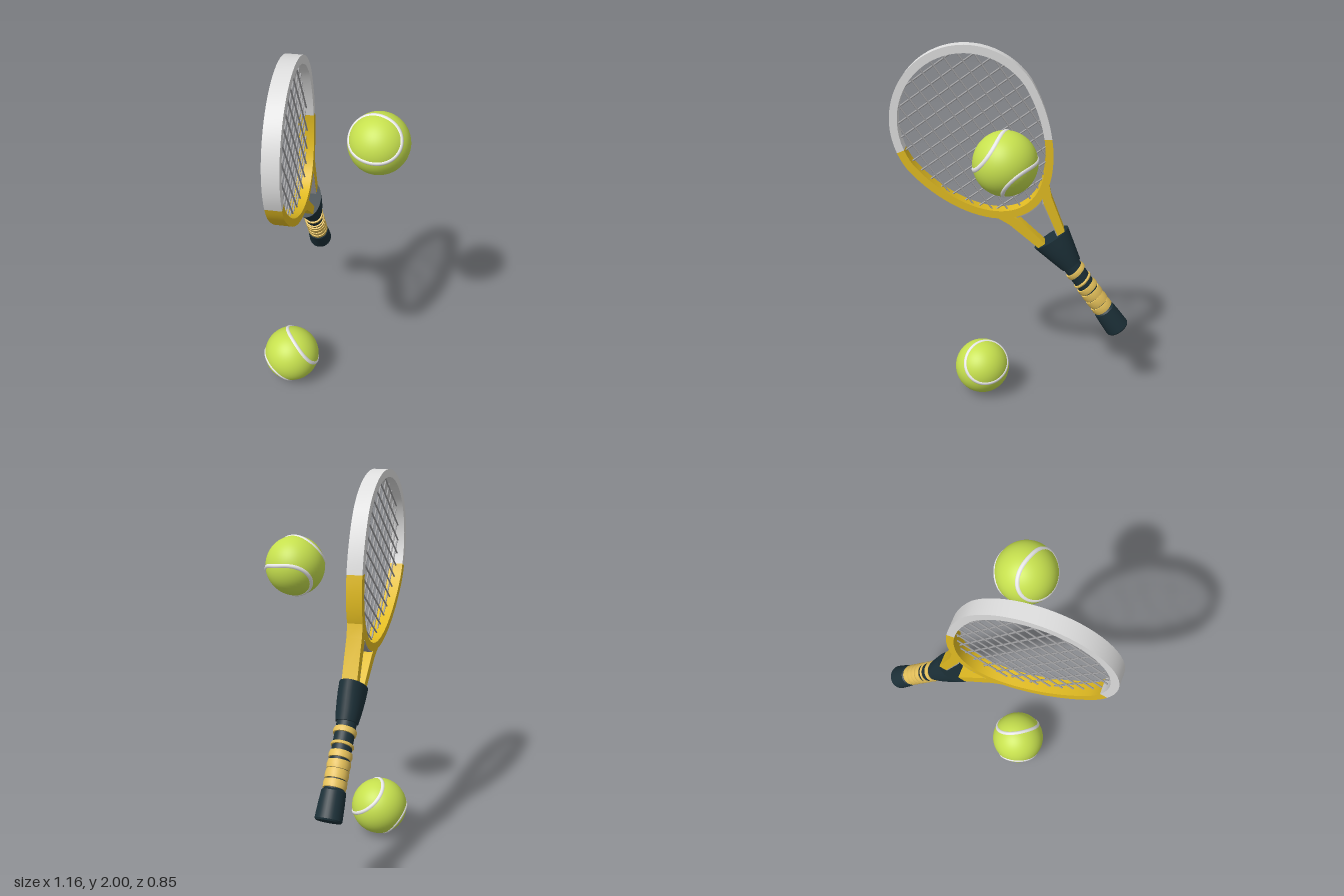
import * as THREE from 'three';
import { toCreasedNormals } from 'three/addons/utils/BufferGeometryUtils.js';

const mat = (name, color) => {
  const m = new THREE.MeshStandardMaterial({ color });
  m.name = name;
  return m;
};
const mats = {
  yellow: mat('frameYellow', 0xe2bc22),
  white: mat('frameWhite', 0xdedede),
  dark: mat('gripDark', 0x1c3038),
  gold: mat('wrapGold', 0xe4c05a),
  grey: mat('stringGrey', 0xa0a0a2),
  felt: mat('ballFelt', 0xc6e04e),
  seam: mat('seamWhite', 0xf0f0f0),
};

const add = (parent, name, geometry, material) => {
  const mesh = new THREE.Mesh(geometry, material);
  mesh.name = name;
  parent.add(mesh);
  return mesh;
};

// Egg-shaped head outline: w half width, up and down reach from its centre
const HEAD_Y = 0.775;
const egg = (deg, w, up, down) => {
  const t = THREE.MathUtils.degToRad(deg), s = Math.sin(t);
  const taper = s < 0 ? 1 + 0.11 * s : 1;
  return new THREE.Vector2(w * Math.cos(t) * taper, HEAD_Y + s * (s > 0 ? up : down));
};
const outer = (deg) => egg(deg, 0.39, 0.407, 0.555);
const inner = (deg) => egg(deg, 0.35, 0.367, 0.512);

const plate = (points, depth) => {
  const g = new THREE.ExtrudeGeometry(new THREE.Shape(points), { depth, bevelEnabled: false });
  g.translate(0, 0, -depth / 2);
  return toCreasedNormals(g, 0.5);
};

// Band between two outlines over a range of angles
function band(outline, inline, from, to, depth) {
  const n = 36, pts = [];
  for (let i = 0; i <= n; i++) pts.push(outline(from + (to - from) * i / n));
  for (let i = n; i >= 0; i--) pts.push(inline(from + (to - from) * i / n));
  return plate(pts, depth);
}

// Where a line x = v or y = v crosses the inside of the hoop
function span(axis, v) {
  const other = axis === 'x' ? 'y' : 'x', hits = [];
  for (let d = 0; d < 360; d += 2) {
    const p = inner(d), q = inner(d + 2);
    if ((p[axis] - v) * (q[axis] - v) <= 0 && p[axis] !== q[axis]) {
      hits.push(p[other] + (q[other] - p[other]) * (v - p[axis]) / (q[axis] - p[axis]));
    }
  }
  return [Math.min(...hits), Math.max(...hits)];
}

function addStrings(racket) {
  const strings = new THREE.Group();
  strings.name = 'strings';
  racket.add(strings);
  const addString = (axis, v) => {
    const [lo, hi] = span(axis, v);
    const m = add(strings, axis === 'x' ? 'mainString' : 'crossString',
      new THREE.CylinderGeometry(0.0045, 0.0045, hi - lo + 0.02, 8), mats.grey);
    const mid = (lo + hi) / 2;
    if (axis === 'x') m.position.set(v, mid, 0.003);
    else {
      m.position.set(mid, v, -0.003);
      m.rotation.z = Math.PI / 2;
    }
  };
  for (let i = 0; i < 10; i++) addString('x', (i - 4.5) * 0.066);
  for (let i = 0; i < 13; i++) addString('y', 0.32 + i * 0.066);
}

function addThroat(racket) {
  for (const side of [-1, 1]) {
    // Yoke arm
    const pts = [[0.17, 0.3], [0.134, 0.22], [0.079, 0], [0.036, 0], [0.08, 0.215], [0.1, 0.258]]
      .map(([x, y]) => new THREE.Vector2(x * side, y));
    add(racket, 'throatArm', plate(pts, 0.079), mats.yellow);
  }
  // Grey lining on one arm and under the bridge
  const lining = add(racket, 'armLining', new THREE.BoxGeometry(0.006, 0.2, 0.077), mats.grey);
  lining.position.set(0.057, 0.115, 0);
  lining.rotation.z = -Math.atan2(0.044, 0.215);
  const below = (deg) => outer(deg).add(new THREE.Vector2(0, -0.006));
  add(racket, 'bridgeLining', band(below, outer, 257, 283, 0.077), mats.grey);
}

function addHandle(racket) {
  // Flared collar: oval at the throat, round at the handle
  const collar = new THREE.CylinderGeometry(0.108, 0.06, 0.19, 32, 4);
  const p = collar.attributes.position;
  for (let i = 0; i < p.count; i++) {
    const f = (p.getY(i) + 0.095) / 0.19;
    p.setZ(i, p.getZ(i) * THREE.MathUtils.lerp(0.95, 0.64, f));
  }
  collar.computeVertexNormals();
  add(racket, 'gripCollar', toCreasedNormals(collar, 0.7), mats.dark).position.y = -0.075;

  const core = add(racket, 'gripCore', new THREE.CylinderGeometry(0.05, 0.05, 0.36, 32), mats.dark);
  core.position.y = -0.32;

  const butt = [[0, -0.654], [0.061, -0.654], [0.067, -0.646], [0.064, -0.57], [0.06, -0.51], [0.048, -0.5]]
    .map(([x, y]) => new THREE.Vector2(x, y));
  add(racket, 'gripButt', toCreasedNormals(new THREE.LatheGeometry(butt, 32), 0.6), mats.dark);

  // Slanted wraps: [height, width, tilt]
  const wraps = [[-0.22, 0.028, 0.2], [-0.288, 0.014, 0.2], [-0.338, 0.034, 0.15],
    [-0.384, 0.042, 0.05], [-0.432, 0.046, 0.1], [-0.48, 0.04, 0.1]];
  for (const [y, h, tilt] of wraps) {
    const profile = [[0.048, -h / 2], [0.056, -h / 2], [0.059, 0], [0.056, h / 2], [0.048, h / 2]]
      .map(([x, v]) => new THREE.Vector2(x, v));
    const wrap = add(racket, 'gripWrap', toCreasedNormals(new THREE.LatheGeometry(profile, 32), 0.6), mats.gold);
    wrap.position.y = y;
    wrap.rotation.z = tilt;
  }
}

// Felt ball with two wavy seams around an axis, each given as [side, height, wave];
// a seam dips towards the waist along z
function makeBall(center, axis, seams) {
  const ball = new THREE.Group();
  ball.name = 'ball';
  ball.position.set(...center);
  add(ball, 'ballFelt', new THREE.SphereGeometry(0.154, 48, 32), mats.felt);
  const d = new THREE.Vector3(...axis).normalize();
  const e1 = new THREE.Vector3(0, 0, 1).addScaledVector(d, -d.z).normalize();
  const e2 = new THREE.Vector3().crossVectors(d, e1);
  for (const [side, k, wave] of seams) {
    const pts = [];
    for (let i = 0; i < 32; i++) {
      const t = i / 32 * Math.PI * 2, h = k - wave * Math.cos(2 * t), r = Math.sqrt(1 - h * h);
      pts.push(new THREE.Vector3().addScaledVector(d, side * h)
        .addScaledVector(e1, r * Math.cos(t)).addScaledVector(e2, r * Math.sin(t)).multiplyScalar(0.146));
    }
    const path = new THREE.CatmullRomCurve3(pts, true);
    add(ball, 'ballSeam', new THREE.TubeGeometry(path, 80, 0.013, 10, true), mats.seam);
  }
  return ball;
}

export function createModel() {
  const model = new THREE.Group();
  model.name = 'racketAndBalls';

  // Racket is built upright, leaned in its own plane, then turned about y
  const turned = new THREE.Group();
  turned.name = 'racketTurn';
  turned.position.z = -0.104;
  turned.rotation.y = 0.45;
  model.add(turned);
  const racket = new THREE.Group();
  racket.name = 'racket';
  racket.position.set(0.212, 0.963, 0);
  racket.rotation.z = THREE.MathUtils.degToRad(35);
  turned.add(racket);

  add(racket, 'upperHoop', band(outer, inner, -33, 167, 0.08), mats.white);
  add(racket, 'lowerHoop', band(outer, inner, 167, 327, 0.08), mats.yellow);
  addStrings(racket);
  addThroat(racket);
  addHandle(racket);

  model.add(makeBall([-0.173, 0.158, -0.053], [0.57, 0.67, 0.49], [[1, 0.58, 0.05], [-1, 0.68, 0.03]]));
  model.add(makeBall([0.136, 1.517, 0.27], [-0.76, 0.63, 0.16], [[1, 0.58, 0.08], [-1, 0.59, 0.11]]));
  return model;
}
